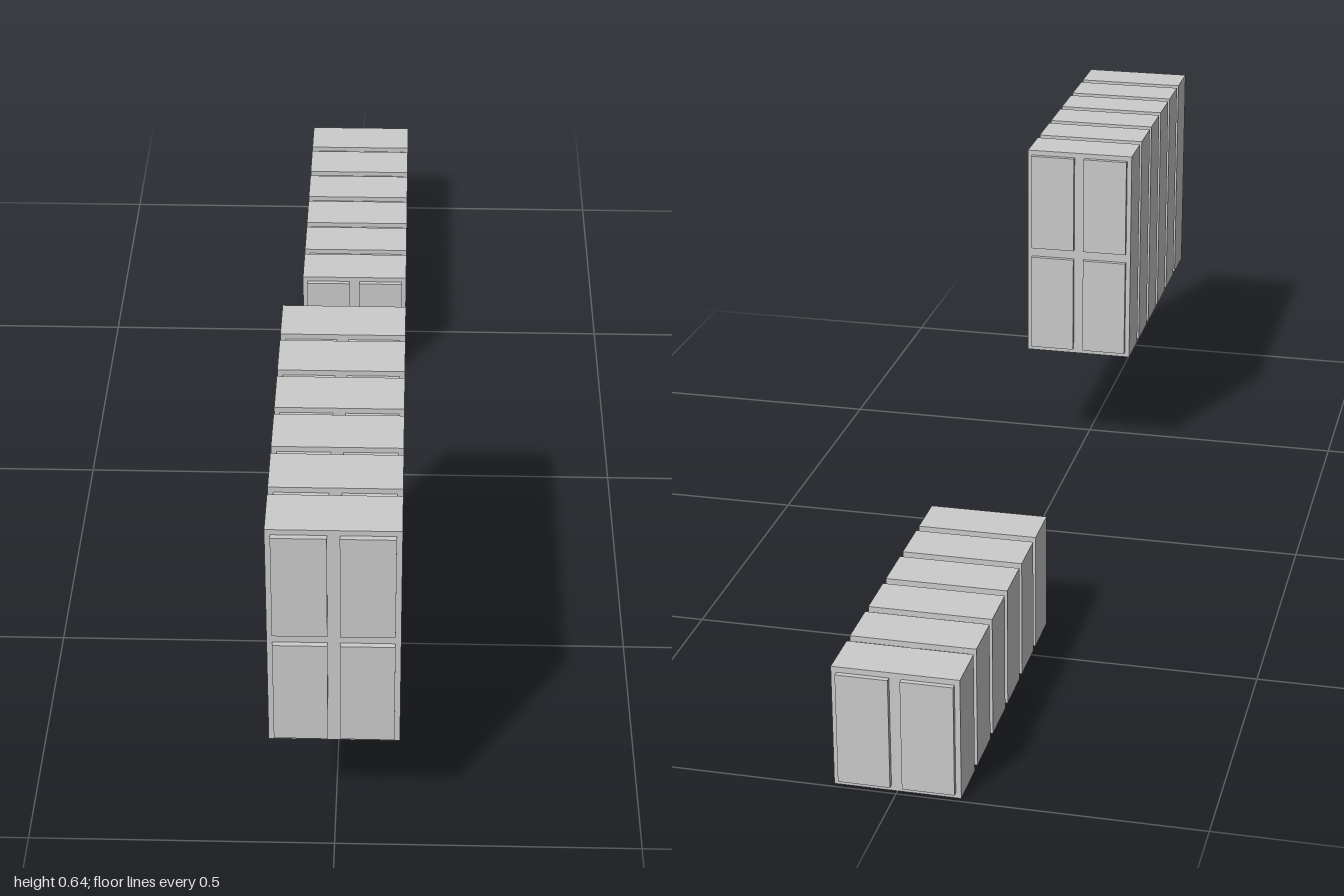
import * as THREE from 'three';

const material = new THREE.MeshStandardMaterial({ color: 0xcccccc, flatShading: true });

const WIDTH = 0.208;      // slab width
const PITCH = 0.105;      // slab thickness plus a panel on both faces
const RAISE = 0.009;      // how far a panel stands out
const COUNT = 6;          // slabs per stack
const PANEL_W = 0.0855;
const PANEL_H = 0.191;
const ROW_STEP = 0.21;    // height of one panel row

function addBox(parent, name, w, h, d, x, y, z) {
  const mesh = new THREE.Mesh(new THREE.BoxGeometry(w, h, d), material);
  mesh.name = name;
  mesh.position.set(x, y, z);
  parent.add(mesh);
}

// One slab with raised panels on its front and back faces
function createSlab(rows) {
  const slab = new THREE.Group();
  slab.name = 'slab';
  const height = rows * ROW_STEP;
  addBox(slab, 'slabBody', WIDTH, height, PITCH - 2 * RAISE, 0, height / 2, 0);
  for (const face of [-1, 1]) {
    for (const side of [-1, 1]) {
      for (let row = 0; row < rows; row++) {
        addBox(slab, 'raisedPanel', PANEL_W, PANEL_H, RAISE,
          side * 0.0525, (row + 0.5) * ROW_STEP, face * (PITCH - RAISE) / 2);
      }
    }
  }
  return slab;
}

// A row of slabs whose panels touch, leaving narrow grooves between them
function createStack(name, rows, y, z) {
  const stack = new THREE.Group();
  stack.name = name;
  stack.position.set(0, y, z);
  for (let i = 0; i < COUNT; i++) {
    const slab = createSlab(rows);
    slab.position.z = (i - (COUNT - 1) / 2) * PITCH;
    stack.add(slab);
  }
  return stack;
}

export function createModel() {
  const model = new THREE.Group();
  model.name = 'slabStacks';
  const offset = 1 - COUNT * PITCH / 2;
  model.add(createStack('tallStack', 2, 0.219, offset));
  model.add(createStack('lowStack', 1, 0, -offset));
  return model;
}
